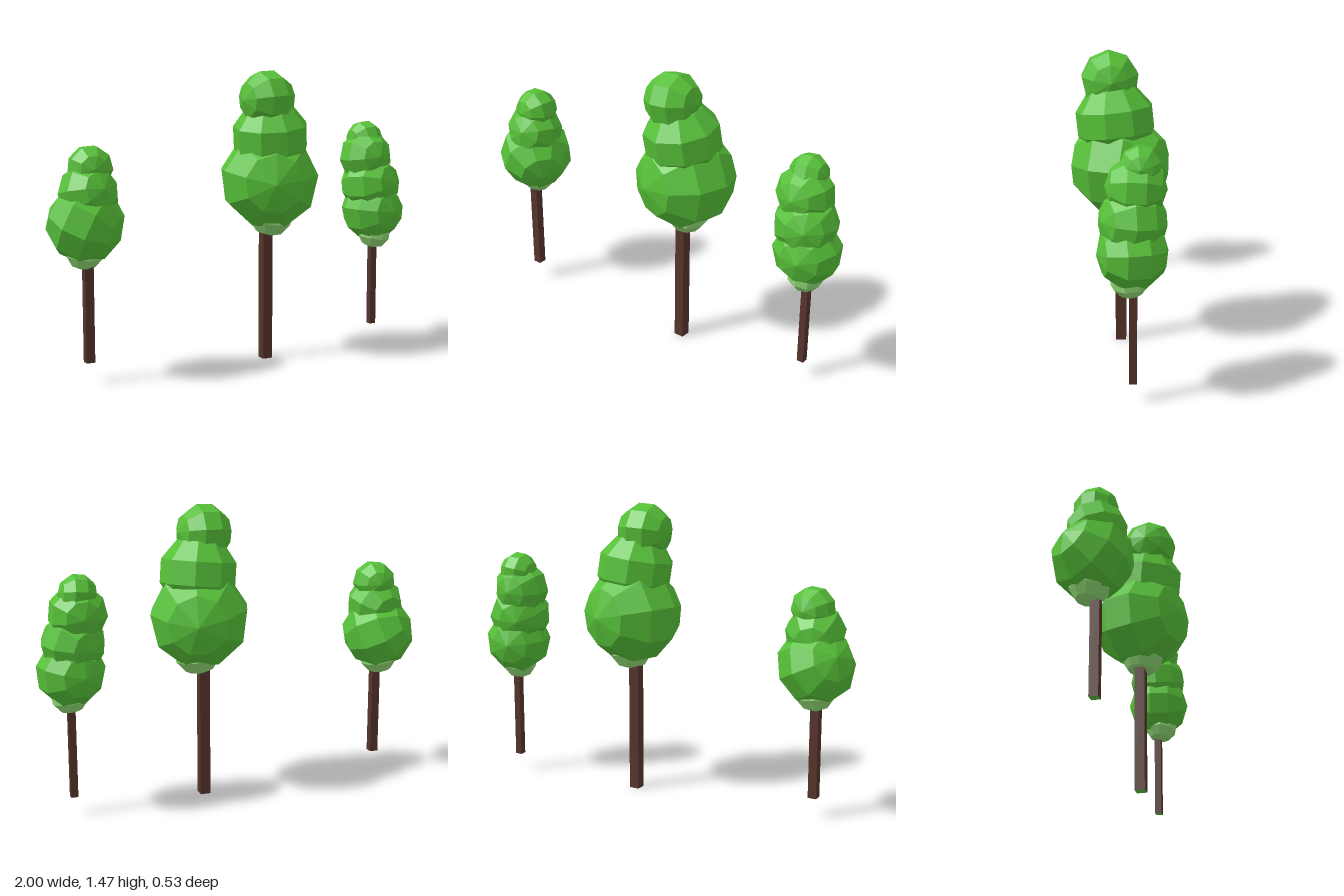
import * as THREE from 'three';

const mat = (name, color) => {
  const m = new THREE.MeshStandardMaterial({ color, flatShading: true });
  m.name = name;
  return m;
};

// trunk: [x, bottom, z, width]; each ball: [x, y, z, radius, pole direction]
const TREES = [
  {
    name: 'leftTree', trunk: [-0.815, 0.107, -0.072, 0.043], top: 0.66,
    collar: [-0.815, 0.64, -0.1, 0.093, [0.1, 1, 0.1]],
    clumps: [
      [-0.815, 0.77, -0.09, 0.185, [-0.68, 0.4, -0.6]],
      [-0.803, 0.915, -0.075, 0.142, [0.1, 0.25, 1]],
      [-0.79, 1.035, -0.08, 0.105, [-0.25, 0, 0.95]],
    ],
  },
  {
    name: 'middleTree', trunk: [0.153, 0.006, 0.013, 0.052], top: 0.76,
    collar: [0.182, 0.748, 0.02, 0.112, [0.1, 1, 0.1]],
    clumps: [
      [0.17, 0.925, 0.017, 0.243, [-0.45, 0, 0.89]],
      [0.163, 1.145, 0.04, 0.19, [-0.12, 1, 0.1]],
      [0.122, 1.338, 0.063, 0.138, [1, 0.05, 0.05]],
    ],
  },
  {
    name: 'rightTree', trunk: [0.846, 0.1, 0.033, 0.035], top: 0.62,
    collar: [0.845, 0.605, 0.05, 0.087, [0.1, 1, 0.1]],
    clumps: [
      [0.84, 0.725, 0.037, 0.162, [0.1, 0, 1]],
      [0.825, 0.865, 0.035, 0.153, [0.3, 0.1, 0.9]],
      [0.804, 1.01, 0.018, 0.138, [-0.1, 0.05, 1]],
      [0.808, 1.105, 0, 0.094, [0.9, 0.1, 0.1]],
    ],
  },
];

// faceted ball with its pole turned to the given direction
function ball(name, [x, y, z, r, pole], material) {
  const geo = new THREE.SphereGeometry(r, 9, 5);
  geo.scale(1.04, 1, 1.04);
  const mesh = new THREE.Mesh(geo, material);
  mesh.name = name;
  mesh.position.set(x, y, z);
  mesh.quaternion.setFromUnitVectors(
    new THREE.Vector3(0, 1, 0), new THREE.Vector3(...pole).normalize());
  return mesh;
}

export function createModel() {
  const leaf = mat('leaf green', 0x56c038);
  const pale = mat('pale leaf green', 0x8fd873);
  const bark = mat('bark brown', 0x55342b);
  const model = new THREE.Group();
  model.name = 'trees';

  for (const t of TREES) {
    const tree = new THREE.Group();
    tree.name = t.name;

    // square trunk with a green underside
    const [x, y, z, w] = t.trunk;
    const trunk = new THREE.Mesh(
      new THREE.BoxGeometry(w, t.top - y, w),
      [bark, bark, bark, leaf, bark, bark]);
    trunk.name = 'trunk';
    trunk.position.set(x, (y + t.top) / 2, z);
    trunk.rotation.y = -0.14;
    tree.add(trunk);

    // pale collar under the crown, then the stacked leaf clumps
    tree.add(ball('crownBase', t.collar, pale));
    t.clumps.forEach((c, i) => tree.add(ball(`leafClump${i + 1}`, c, leaf)));
    model.add(tree);
  }
  return model;
}
